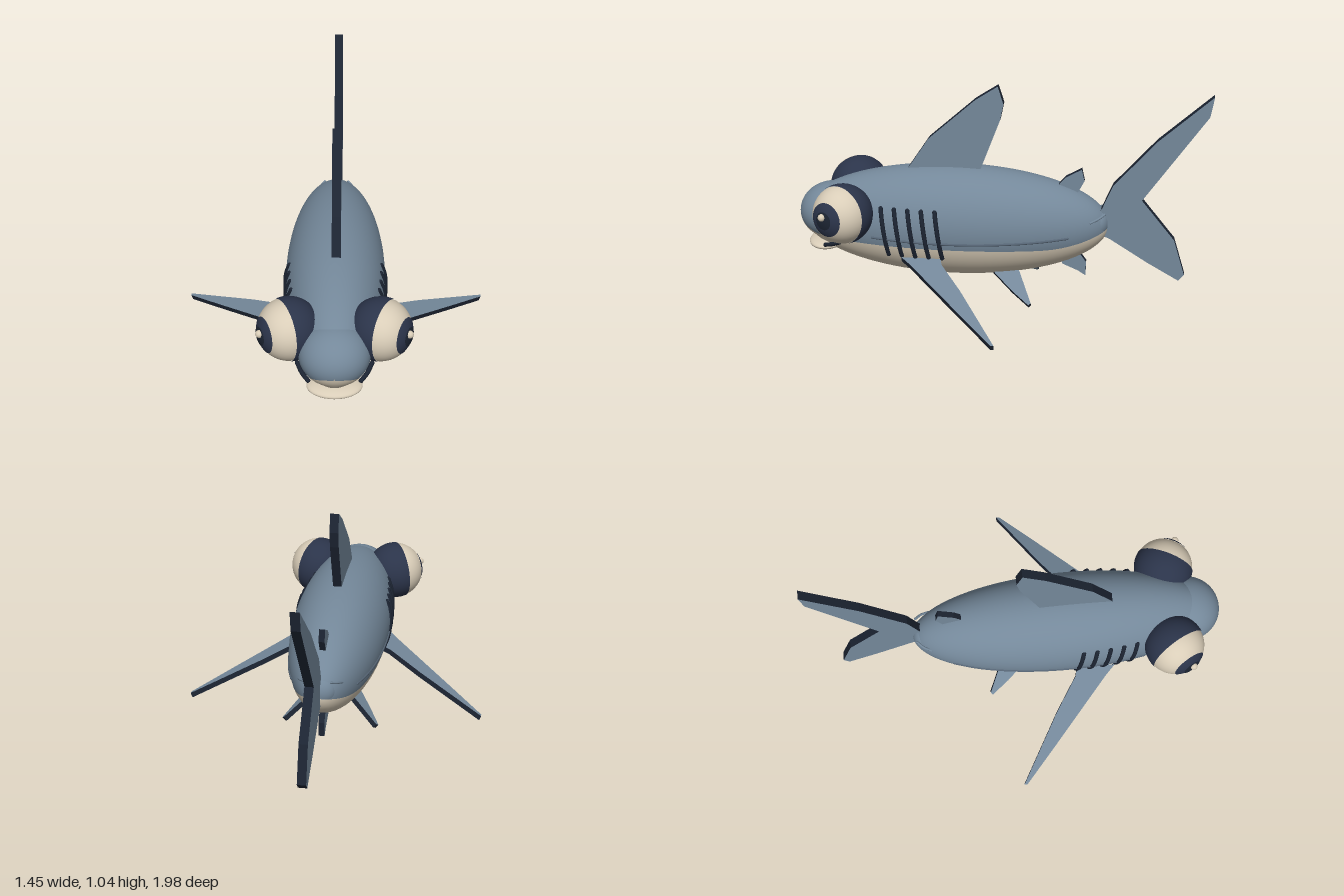
import * as THREE from 'three';

const mat = (name, color, side = THREE.FrontSide) => {
  const m = new THREE.MeshStandardMaterial({ color, side });
  m.name = name;
  return m;
};

export function createModel() {
  const slate = mat('slate skin', 0x74889a);
  const cream = mat('cream belly', 0xd9cdb8);
  const navy = mat('navy eye', 0x2b344a);
  const dark = mat('dark edge', 0x1c2432);
  const line = mat('lateral line grey', 0x566575);

  const model = new THREE.Group();
  model.name = 'fish';
  const add = (name, geo, material, parent = model) => {
    const m = new THREE.Mesh(geo, material);
    m.name = name;
    parent.add(m);
    return m;
  };
  const V = (x, y, z) => new THREE.Vector3(x, y, z);

  // Height of the border between back and belly: level, rising at both ends
  const borderY = (z) => {
    const nose = Math.max(0, (z - 0.8) / 0.19);
    const tail = Math.max(0, (-0.2 - z) / 0.32);
    return 0.285 + 0.07 * nose * nose + 0.07 * tail * tail;
  };

  // Part of an ellipsoid above or below the border
  const halfEllipsoid = (c, r, upper, rings = 48, segs = 32) => {
    const pos = [], nor = [], idx = [];
    for (let i = 0; i <= rings; i++) {
      const phi = 0.001 + (Math.PI - 0.002) * i / rings;
      const z = c.z + r.z * Math.cos(phi), k = Math.sin(phi);
      const s = THREE.MathUtils.clamp((borderY(z) - c.y) / (r.y * k), -1, 1);
      const a = Math.asin(s);
      const start = upper ? a : Math.PI - a;
      const end = upper ? Math.PI - a : 2 * Math.PI + a;
      for (let j = 0; j <= segs; j++) {
        const t = start + (end - start) * j / segs;
        const x = r.x * k * Math.cos(t), y = r.y * k * Math.sin(t);
        pos.push(x + c.x, y + c.y, z);
        const n = V(x / r.x ** 2, y / r.y ** 2, (z - c.z) / r.z ** 2).normalize();
        nor.push(n.x, n.y, n.z);
        if (i < rings && j < segs) {
          const p = i * (segs + 1) + j, q = p + segs + 1;
          idx.push(p, q, p + 1, q, q + 1, p + 1);
        }
      }
    }
    const g = new THREE.BufferGeometry();
    g.setAttribute('position', new THREE.Float32BufferAttribute(pos, 3));
    g.setAttribute('normal', new THREE.Float32BufferAttribute(nor, 3));
    g.setIndex(idx);
    return g;
  };

  // Body, snout and tail stem, each in two colours
  const bodyC = V(0, 0.362, 0.23), bodyR = V(0.235, 0.273, 0.75);
  const volumes = [
    ['body', bodyC, bodyR],
    ['snout', V(0, 0.38, 0.83), V(0.16, 0.14, 0.16)],
    ['tailStem', V(0, 0.372, -0.455), V(0.08, 0.078, 0.065)],
  ];
  for (const [name, c, r] of volumes) {
    add(name + 'Back', halfEllipsoid(c, r, true), slate);
    add(name + 'Belly', halfEllipsoid(c, r, false), cream);
  }
  const flank = (side, y, z) => {
    const k = 1 - ((y - bodyC.y) / bodyR.y) ** 2 - ((z - bodyC.z) / bodyR.z) ** 2;
    return V(side * bodyR.x * Math.sqrt(Math.max(0, k)), y, z);
  };

  // Flat fin: outline as (z, distance along "up"), slate faces with a dark rim
  const fin = (name, outline, thick, up = V(0, 1, 0), origin = V(0, 0, 0)) => {
    const shape = new THREE.Shape(outline.map(([u, v]) => new THREE.Vector2(u, v)));
    const g = new THREE.ExtrudeGeometry(shape, { depth: thick, bevelEnabled: false });
    g.translate(0, 0, -thick / 2);
    const u = V(0, 0, 1), n = u.clone().cross(up);
    g.applyMatrix4(new THREE.Matrix4().makeBasis(u, up, n).setPosition(origin));
    return add(name, g, [slate, dark]);
  };
  fin('dorsalFin', [[0.45, 0.58], [0.45, 0.62], [0.347, 0.775], [0.123, 0.973], [0.016, 1.043],
    [-0.011, 0.957], [0.005, 0.877], [0.1, 0.625], [0.1, 0.58]], 0.042, undefined, V(0.005, 0, 0));
  fin('tailFin', [[-0.45, 0.4], [-0.486, 0.455], [-0.535, 0.572], [-0.738, 0.802], [-0.99, 1.027],
    [-0.973, 0.93], [-0.674, 0.503], [-0.834, 0.305], [-0.888, 0.128], [-0.861, 0.096],
    [-0.711, 0.182], [-0.524, 0.3], [-0.45, 0.33]], 0.042, undefined, V(0.01, 0, 0));
  fin('rearDorsalFin', [[-0.27, 0.53], [-0.267, 0.551], [-0.31, 0.6], [-0.385, 0.642],
    [-0.398, 0.583], [-0.35, 0.49]], 0.028);
  fin('analFin', [[-0.27, 0.22], [-0.3, 0.15], [-0.375, 0.118], [-0.412, 0.094],
    [-0.414, 0.165], [-0.36, 0.24]], 0.028);

  const tube = (name, points, radius, material) => {
    const curve = new THREE.CatmullRomCurve3(points);
    add(name, new THREE.TubeGeometry(curve, points.length * 4, radius, 8), material);
    // Rounded ends
    for (const p of [points[0], points.at(-1)]) {
      add(name + 'End', new THREE.SphereGeometry(radius, 8, 6), material).position.copy(p);
    }
  };

  for (const side of [1, -1]) {
    const label = side > 0 ? 'left' : 'right';

    // Paired fins
    fin(label + 'PectoralFin', [[0.46, 0], [0.41, 0.05], [0.13, 0.37], [-0.03, 0.55], [-0.045, 0.55],
      [0.15, 0.21], [0.26, 0.04], [0.27, 0]], 0.026,
    V(side * 0.5, -0.17, 0).normalize(), V(side * 0.2, 0.218, 0));
    fin(label + 'PelvicFin', [[0.05, -0.04], [0.03, 0], [-0.07, 0.1], [-0.155, 0.172],
      [-0.165, 0.16], [-0.1, 0], [-0.08, -0.04]], 0.024,
    V(side * 0.13, -0.115, 0).normalize(), V(side * 0.1, 0.128, 0));

    // Five gill slits following the flank
    for (let i = 0; i < 5; i++) {
      const pts = [];
      for (let k = 0; k <= 5; k++) {
        pts.push(flank(side, 0.472 - 0.235 * k / 5, 0.556 - 0.0655 * i - 0.032 * k / 5));
      }
      tube(label + 'GillSlit', pts, 0.011, dark);
    }

    // Lateral line along the flank
    const pts = [];
    for (let k = 0; k <= 10; k++) {
      const t = k / 10;
      pts.push(flank(side, 0.325 - 0.06 * t * (1 - t) + 0.018 * t, 0.6 - 0.93 * t));
    }
    tube(label + 'LateralLine', pts, 0.006, line);

    // Short keel on the tail stem
    tube(label + 'TailKeel', [V(side * 0.1, 0.405, -0.435), V(side * 0.085, 0.42, -0.47),
      V(side * 0.06, 0.435, -0.5)], 0.006, slate);

    // Mouth corner
    tube(label + 'MouthCorner', [V(side * 0.167, 0.276, 0.77), V(side * 0.145, 0.255, 0.815),
      V(side * 0.117, 0.239, 0.85)], 0.011, dark);

    // Eye: bands of a sphere around an axis pointing out and forward
    const eye = new THREE.Group();
    eye.name = label + 'Eye';
    eye.position.set(side * 0.203, 0.442, 0.738);
    eye.quaternion.setFromUnitVectors(V(0, 1, 0), V(side * 0.88, 0.06, 0.46).normalize());
    model.add(eye);
    const band = (name, r, from, to, material) =>
      add(name, new THREE.SphereGeometry(r, 40, 16, 0, Math.PI * 2, from, to - from), material, eye);
    band('eyeSocket', 0.145, 1.37, Math.PI, navy);
    band('eyeWhite', 0.142, 0.6, 1.4, cream);
    band('iris', 0.144, 0, 0.61, navy);
    band('pupil', 0.147, 0, 0.3, dark);
    add(label + 'EyeGlint', new THREE.SphereGeometry(0.018, 16, 12), cream)
      .position.set(side * 0.328, 0.468, 0.81);
  }

  // Lower lip
  const lip = add('lowerLip', new THREE.SphereGeometry(1, 32, 20), cream);
  lip.scale.set(0.125, 0.028, 0.09);
  lip.position.set(0, 0.224, 0.862);

  return model;
}
